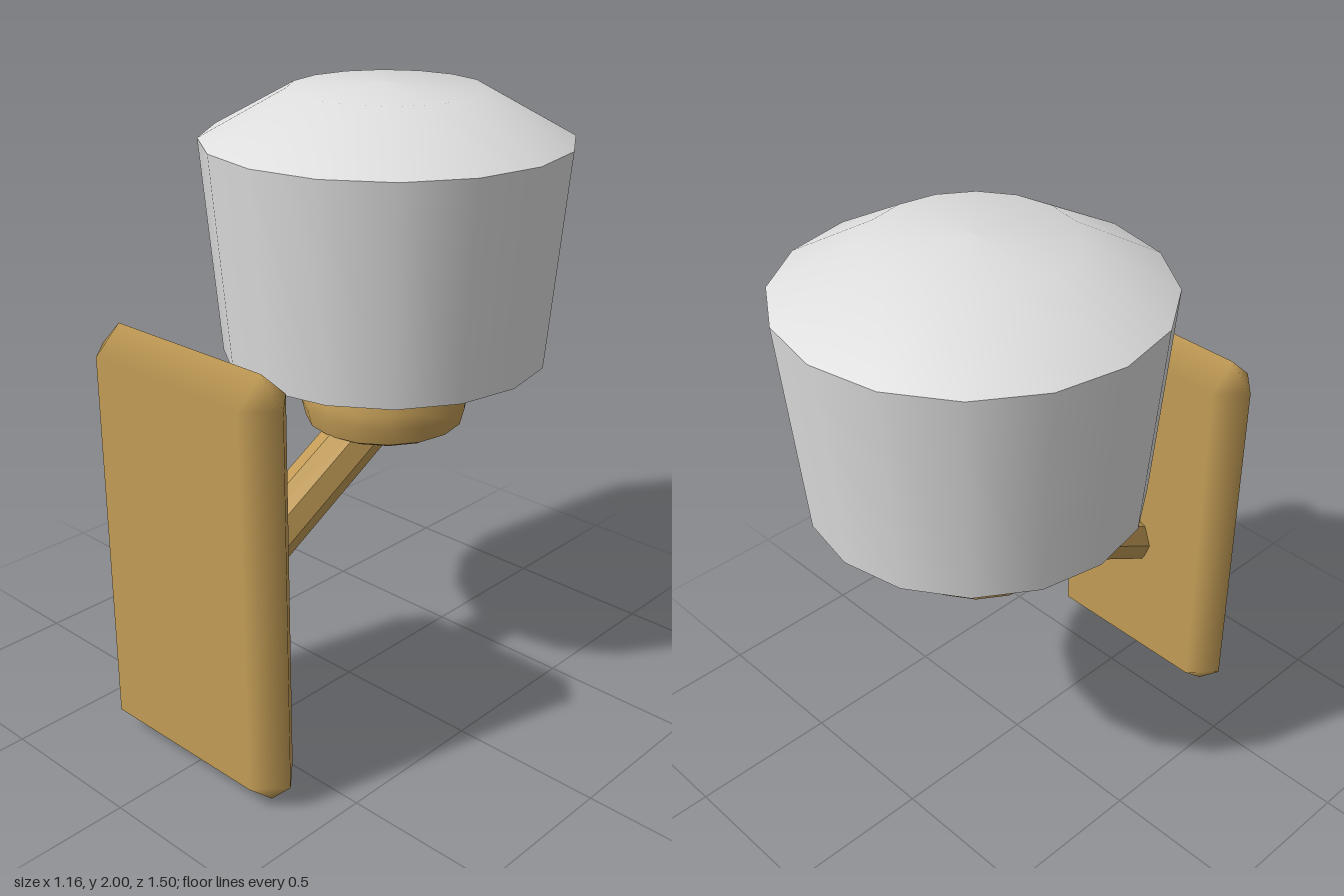
import * as THREE from 'three';

const SIDES = 16;
const AXIS_Z = -0.17;

// Bevelled slab: a front rectangle, a wider eight-sided waist, a back rectangle
function slabGeometry(hx, hy, hz, bevel) {
  const corners = [[1, -1], [1, 1], [-1, 1], [-1, -1]];
  const dirs = [[0, -1], [1, 0], [0, 1], [-1, 0]];
  const pos = [], nor = [], idx = [];
  for (const layer of [1, 0, -1]) {
    for (let j = 0; j < 8; j++) {
      const i = j >> 1;
      const c = corners[i], d = dirs[(i + (j & 1)) % 4];
      const out = layer === 0 ? bevel : 0;
      pos.push(c[0] * hx + d[0] * out, c[1] * hy + d[1] * out, layer * hz);
      nor.push(...(layer === 0 ? [d[0], d[1], 0] : [0, 0, layer]));
    }
  }
  for (const r of [0, 8]) {
    for (let j = 0; j < 8; j++) {
      const a = r + j, b = r + (j + 1) % 8;
      idx.push(a, a + 8, b + 8, a, b + 8, b);
    }
  }
  idx.push(0, 2, 4, 0, 4, 6, 16, 20, 18, 16, 22, 20);
  const g = new THREE.BufferGeometry();
  g.setAttribute('position', new THREE.Float32BufferAttribute(pos, 3));
  g.setAttribute('normal', new THREE.Float32BufferAttribute(nor, 3));
  g.setIndex(idx);
  return g;
}

export function createModel() {
  const model = new THREE.Group();
  model.name = 'wallLamp';

  const brass = new THREE.MeshStandardMaterial({ color: 0xc29c56 });
  brass.name = 'brass';
  const brassFaceted = brass;
  const glass = new THREE.MeshStandardMaterial({ color: 0xdedede });
  glass.name = 'frostedGlass';

  const add = (name, geometry, material, parent = model) => {
    const mesh = new THREE.Mesh(geometry, material);
    mesh.name = name;
    parent.add(mesh);
    return mesh;
  };
  const lathe = (points) =>
    new THREE.LatheGeometry(points.map(([r, y]) => new THREE.Vector2(r, y)), SIDES);

  // Wall plate
  add('wallPlate', slabGeometry(0.3, 0.605, 0.09, 0.083), brass)
    .position.set(0, 0.688, 0.66);

  // Slanted eight-sided arm from the plate up to the cup
  const start = new THREE.Vector3(0, 0.544, 0.594);
  const end = new THREE.Vector3(0, 0.919, -0.086);
  const along = end.clone().sub(start);
  const armGeometry = new THREE.CylinderGeometry(0.09, 0.09, along.length(), 8).toNonIndexed();
  armGeometry.computeVertexNormals();
  const arm = add('arm', armGeometry, brassFaceted);
  arm.position.copy(start).add(end).multiplyScalar(0.5);
  arm.quaternion.setFromUnitVectors(new THREE.Vector3(0, 1, 0), along.normalize());

  // Cup holding the shade; separate bands keep the rims sharp
  const cup = new THREE.Group();
  cup.name = 'cup';
  cup.position.z = AXIS_Z;
  model.add(cup);
  add('cupBase', lathe([[0, 0.905], [0.235, 0.907], [0.258, 0.92]]), brass, cup);
  add('cupWall', lathe([[0.258, 0.92], [0.272, 0.975], [0.272, 1.02], [0.258, 1.073]]), brass, cup);
  add('cupTop', lathe([[0.258, 1.073], [0.235, 1.08], [0, 1.08]]), brass, cup);

  // Tapered shade with a shallow underside and a domed lid
  const shade = new THREE.Group();
  shade.name = 'shade';
  shade.position.z = AXIS_Z;
  model.add(shade);
  add('shadeUnderside', lathe([[0, 1.078], [0.21, 1.08], [0.52, 1.15]]), glass, shade);
  add('shadeWall', lathe([[0.52, 1.15], [0.578, 1.835]]), glass, shade);
  add('shadeDome', lathe([[0.578, 1.835], [0.305, 1.985], [0, 2]]), glass, shade);

  return model;
}
